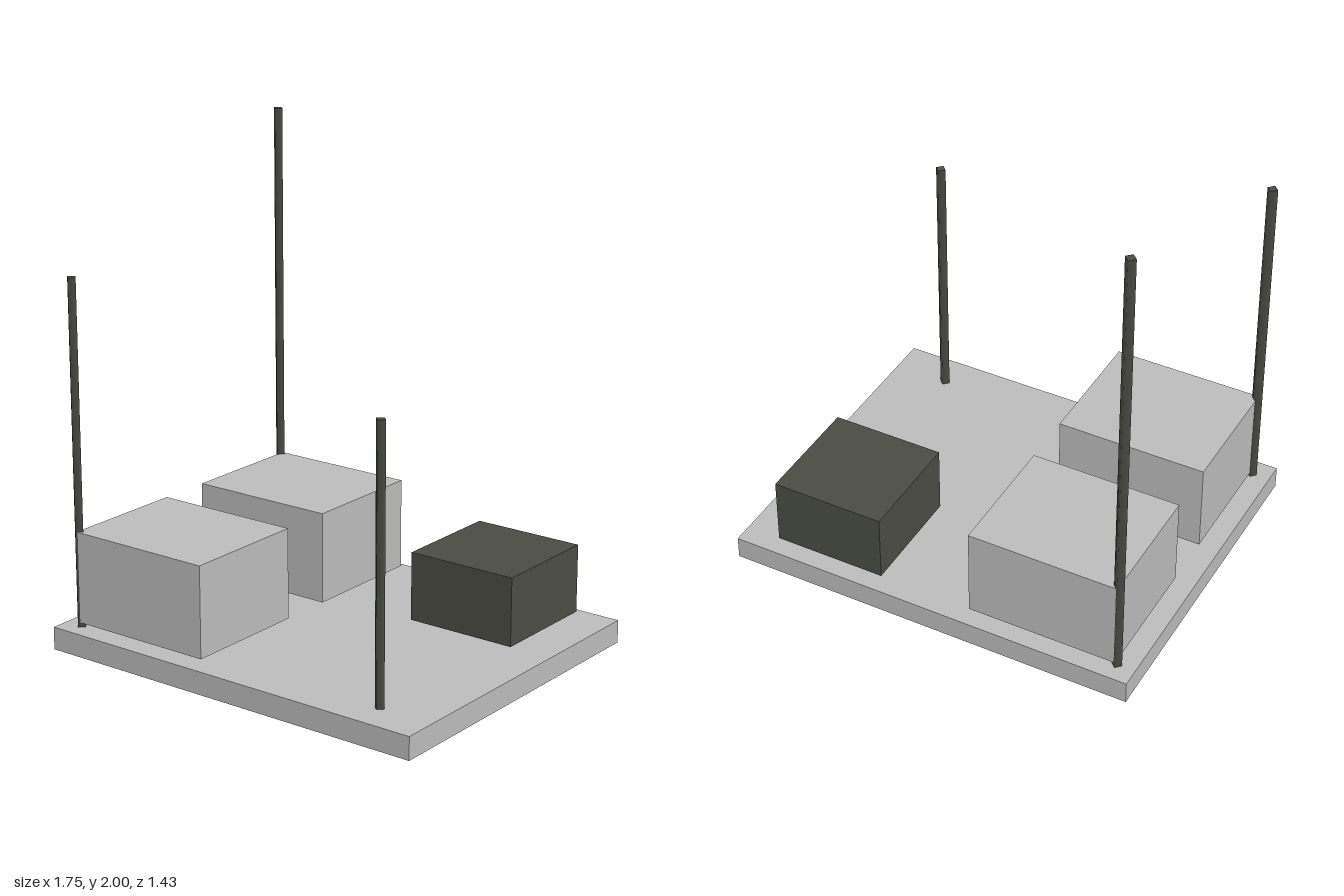
import * as THREE from 'three';

// Plan unit: the model is 63 units tall, scaled to 2
const U = 2 / 63;

export function createModel() {
  const model = new THREE.Group();
  const lightGrey = new THREE.MeshStandardMaterial({ name: 'lightGrey', color: 0xbebebe });
  const darkGrey = new THREE.MeshStandardMaterial({ name: 'darkGrey', color: 0x4b4d45 });

  const add = (name, geometry, material, x, y, z) => {
    const mesh = new THREE.Mesh(geometry.scale(U, U, U), material);
    mesh.name = name;
    mesh.position.set(x * U, y * U, z * U);
    model.add(mesh);
  };
  // Box placed by the centre of its underside
  const box = (name, material, w, h, d, x, y, z) =>
    add(name, new THREE.BoxGeometry(w, h, d), material, x, y + h / 2, z);

  const deck = 3;    // top of the base slab
  const lift = 3.6;  // underside of the blocks, just clear of the slab

  box('base', lightGrey, 55, deck, 45, 0, 0, 0);

  // Raised blocks
  box('frontBlock', lightGrey, 20, 12, 17, -15, lift, 12);
  box('backBlock', lightGrey, 20, 12, 17, -15, lift, -12);
  box('darkBlock', darkGrey, 15, 9, 15, 15, lift, -13);

  // Four-sided poles with smooth normals, standing on the slab
  const poles = [
    ['backPole', 60, -25, -20],
    ['frontRightPole', 45, -25, 20],
    ['frontLeftPole', 35, 20, 18],
  ];
  for (const [name, h, x, z] of poles) {
    add(name, new THREE.CylinderGeometry(0.7, 0.7, h, 4), darkGrey, x, deck + h / 2, z);
  }

  return model;
}
